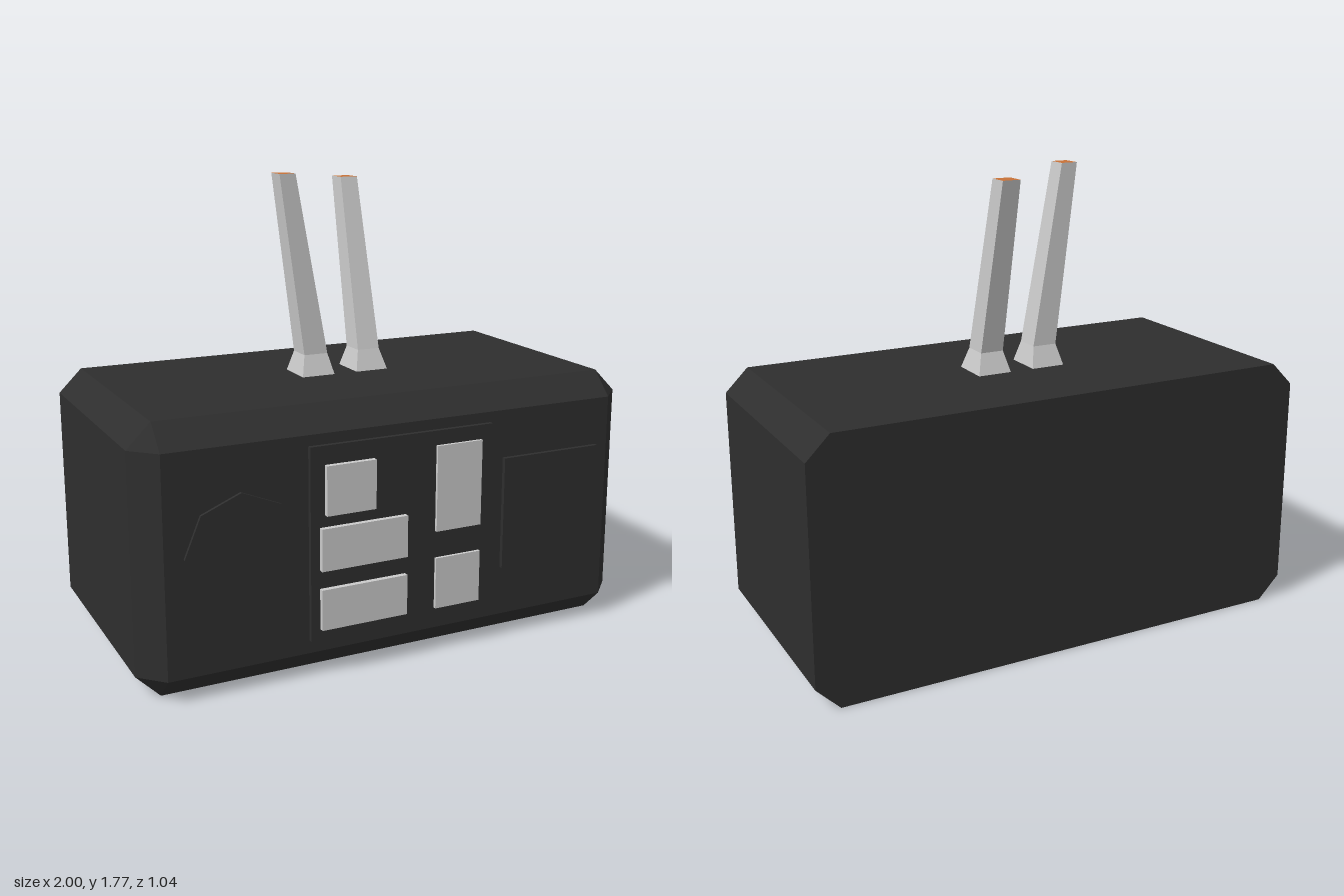
import * as THREE from 'three';
import { ConvexGeometry } from 'three/addons/geometries/ConvexGeometry.js';

const mat = (name, color) => {
  const m = new THREE.MeshStandardMaterial({ color });
  m.name = name;
  return m;
};

// Corners of a horizontal rectangle [y, x0, x1, z0, z1]
const ring = ([y, x0, x1, z0, z1]) => [[x0, z0], [x0, z1], [x1, z1], [x1, z0]]
  .map(([x, z]) => new THREE.Vector3(x, y, z));

// Flat-faced loft through rectangles; material 0 for the sides, 1 for the tip
function loft(sections) {
  const rings = sections.map(ring), pos = [];
  const quad = (a, b, c, d) => [a, b, c, a, c, d].forEach(p => pos.push(p.x, p.y, p.z));
  for (let s = 0; s < rings.length - 1; s++) {
    for (let i = 0; i < 4; i++) {
      const j = (i + 1) % 4;
      quad(rings[s][i], rings[s][j], rings[s + 1][j], rings[s + 1][i]);
    }
  }
  const sides = pos.length / 3;
  quad(...rings[rings.length - 1]);
  const geo = new THREE.BufferGeometry();
  geo.setAttribute('position', new THREE.Float32BufferAttribute(pos, 3));
  geo.addGroup(0, sides, 0);
  geo.addGroup(sides, 6, 1);
  geo.computeVertexNormals();
  return geo;
}

export function createModel() {
  const model = new THREE.Group();
  const dark = mat('charcoal', 0x2e2e2e);
  const silver = mat('silver', 0xcbcbcb);
  const copper = mat('copper', 0xc87137);

  const add = (name, geo, material) => {
    const mesh = new THREE.Mesh(geo, material);
    mesh.name = name;
    model.add(mesh);
    return mesh;
  };

  // Box placed by its limits
  const block = (name, x0, x1, y0, y1, z0, z1, material) =>
    add(name, new THREE.BoxGeometry(x1 - x0, y1 - y0, z1 - z0), material)
      .position.set((x0 + x1) / 2, (y0 + y1) / 2, (z0 + z1) / 2);

  // Body: chamfered along its length and around the front, square at the back
  const pts = [];
  for (const sx of [-1, 1]) for (const sy of [-1, 1]) {
    for (const z of [-0.52, 0.39]) {
      pts.push(new THREE.Vector3(sx, 0.5 + sy * 0.41, z));
      pts.push(new THREE.Vector3(sx * 0.91, 0.5 + sy * 0.5, z));
    }
    pts.push(new THREE.Vector3(sx * 0.91, 0.5 + sy * 0.41, 0.48));
  }
  add('body', new ConvexGeometry(pts), dark);

  // Raised plates on the front
  block('controlPanel', -0.375, 0.37, 0.14, 0.87, 0.46, 0.498, dark);
  block('squarePlate', 0.43, 0.855, 0.285, 0.725, 0.46, 0.497, dark);
  const dial = new THREE.CylinderGeometry(0.21, 0.21, 0.03, 8).toNonIndexed();
  dial.computeVertexNormals();
  dial.rotateX(Math.PI / 2);
  add('octagonPlate', dial, dark).position.set(-0.63, 0.53, 0.477);

  // Buttons: x range, y range, front z
  [
    [-0.32, -0.125, 0.615, 0.8, 0.518],
    [-0.34, 0.005, 0.41, 0.57, 0.518],
    [-0.34, 0.005, 0.185, 0.34, 0.518],
    [0.13, 0.32, 0.485, 0.815, 0.51],
    [0.13, 0.32, 0.18, 0.38, 0.51],
  ].forEach(([x0, x1, y0, y1, z], i) =>
    block(`button${i + 1}`, x0, x1, y0, y1, 0.48, z, silver));

  // Antennas: flared foot, neck, leaning rod with a coloured tip
  add('rightAntenna', loft([
    [0.99, -0.187, -0.048, -0.147, 0.017],
    [1.08, -0.165, -0.068, -0.115, -0.015],
    [1.77, -0.255, -0.19, -0.105, -0.027],
  ]), [silver, copper]);
  add('leftAntenna', loft([
    [0.99, 0.043, 0.182, -0.147, 0.017],
    [1.08, 0.065, 0.157, -0.115, -0.015],
    [1.74, 0.075, 0.146, -0.27, -0.19],
  ]), [silver, copper]);

  return model;
}
